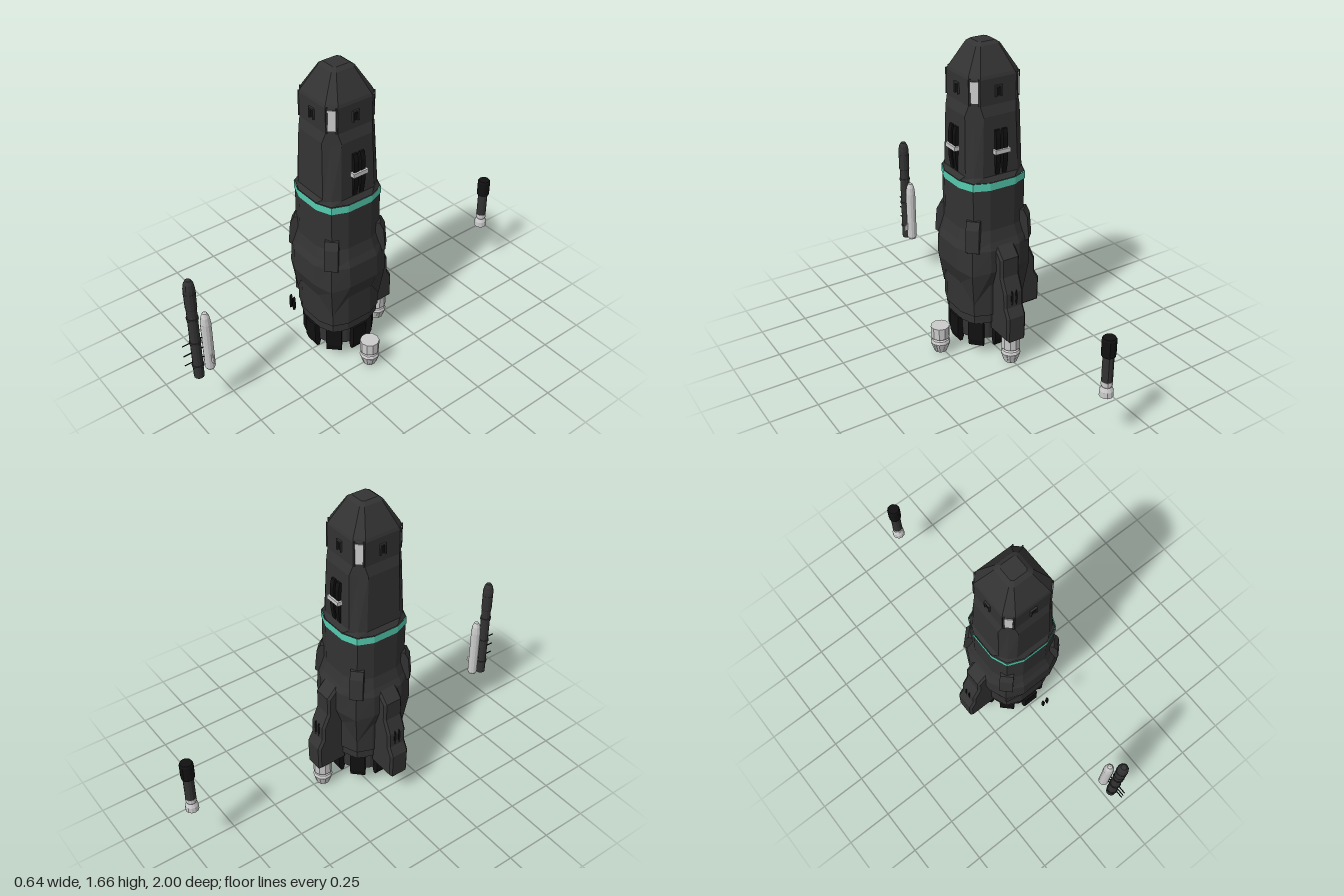
import * as THREE from 'three';

const mat = (color) => new THREE.MeshStandardMaterial({ color, flatShading: true, side: THREE.DoubleSide });
const DARK = mat(0x333333), BLACK = mat(0x111111), GREY = mat(0xcccccc), TEAL = mat(0x55ccb0);

function add(parent, name, geo, material, x = 0, y = 0, z = 0) {
  const m = new THREE.Mesh(geo, material);
  m.name = name;
  m.position.set(x, y, z);
  parent.add(m);
  return m;
}

// Square section with cut corners: h = face distance, f = half face width, c = corner point
function section(y, h, f, c = (h + f) / 2, cy = y) {
  const pts = [];
  for (let q = 0; q < 4; q++) {
    const s = Math.round(Math.sin(q * Math.PI / 2)), k = Math.round(Math.cos(q * Math.PI / 2));
    for (const [x, z, yy] of [[h, f, y], [c, c, cy], [f, h, y]]) pts.push([x * k - z * s, yy, x * s + z * k]);
  }
  return pts;
}

// Skin over sections listed from bottom to top
function loft(sections, capTop = false) {
  const n = 12, idx = [], pos = sections.flat(2);
  for (let r = 0; r < sections.length - 1; r++) {
    for (let k = 0; k < n; k++) {
      const a = r * n + k, b = r * n + (k + 1) % n;
      idx.push(a, a + n, b, a + n, b + n, b);
    }
  }
  if (capTop) {
    const o = (sections.length - 1) * n;
    for (let k = 1; k < n - 1; k++) idx.push(o, o + k + 1, o + k);
  }
  const g = new THREE.BufferGeometry();
  g.setAttribute('position', new THREE.Float32BufferAttribute(pos, 3));
  g.setIndex(idx);
  const flat = g.toNonIndexed();
  flat.computeVertexNormals();
  return flat;
}

const lathe = (pts, sides) => new THREE.LatheGeometry(pts.map(([r, y]) => new THREE.Vector2(r, y)), sides);

// Extruded outline in (distance, height), turned to face +z
function outline(pts, width, bevel) {
  const shape = new THREE.Shape(pts.map(([r, y]) => new THREE.Vector2(r, y)));
  const g = new THREE.ExtrudeGeometry(shape, {
    depth: width - 2 * bevel, bevelEnabled: bevel > 0, bevelSize: bevel, bevelOffset: -bevel,
    bevelThickness: bevel, bevelSegments: 1,
  });
  g.translate(0, 0, bevel - width / 2);
  return g.rotateY(-Math.PI / 2);
}

function facing(parent, name, angle) {
  const g = new THREE.Group();
  g.name = name;
  g.rotation.y = angle;
  parent.add(g);
  return g;
}

// Engine bell with a wide collar above a narrow neck
function engine(parent, x, y, z) {
  const g = new THREE.Group();
  g.name = 'engine';
  g.position.set(x, y, z);
  parent.add(g);
  add(g, 'engineCollar', lathe([[0, 0.15], [0.05, 0.15], [0.05, 0.085], [0.036, 0.08], [0.036, 0.07], [0, 0.07]], 10), GREY);
  add(g, 'engineNozzle', lathe([[0.036, 0.075], [0.046, 0.07], [0.052, 0.055], [0.034, 0], [0.029, 0], [0.03, 0.05], [0, 0.055]], 10), GREY);
  for (let i = 0; i < 6; i++) {
    const slot = add(facing(g, 'nozzleRib', i * Math.PI / 3), 'rib', new THREE.BoxGeometry(0.008, 0.04, 0.006), GREY, 0, 0.032, 0.042);
    slot.rotation.x = 0.32;
  }
}

// Pair of slim upright vents
function ventPair(parent) {
  for (const s of [-1, 1]) {
    const v = add(parent, 'vent', new THREE.CylinderGeometry(0.5, 0.5, 1, 8), BLACK, s * 0.013, 0.39, 0.29);
    v.rotation.x = Math.PI / 2;
    v.scale.set(0.014, 0.012, 0.085);
  }
}

export function createModel() {
  const model = new THREE.Group();
  model.name = 'rocket';
  const hull = new THREE.Group();
  hull.name = 'hull';
  hull.position.z = 0.075;
  model.add(hull);

  // Main body, teal band, upper hull and nose
  add(hull, 'lowerBody', loft([
    section(0.2, 0.172, 0.067, 0.142), section(0.25, 0.172, 0.067, 0.142),
    section(0.25, 0.18, 0.07, 0.148), section(0.96, 0.18, 0.07, 0.148)]), DARK);
  add(hull, 'band', loft([
    section(0.96, 0.183, 0.072, 0.151), section(1.0, 0.183, 0.072, 0.151)]), TEAL);
  add(hull, 'upperHull', loft([
    section(1.0, 0.18, 0.07, 0.148), section(1.025, 0.162, 0.1, 0.138),
    section(1.33, 0.155, 0.09), section(1.38, 0.14, 0.1),
    section(1.51, 0.14, 0.1), section(1.525, 0.135, 0.095),
    section(1.645, 0.066, 0.05), section(1.66, 0.045, 0.035)], true), DARK);

  // Swollen collar whose lower edge drops to points at the corners
  add(hull, 'collar', loft([
    section(0.43, 0.183, 0.075, 0.15, 0.32), section(0.52, 0.213, 0.085, 0.172, 0.5),
    section(0.64, 0.21, 0.085, 0.168), section(0.68, 0.194, 0.08, 0.16),
    section(0.74, 0.18, 0.07, 0.148)]), DARK);

  // Corner ribs above the collar, and corner windows in the nose
  for (let i = 0; i < 4; i++) {
    const corner = facing(hull, 'corner', Math.PI / 4 + i * Math.PI / 2);
    add(corner, 'rib', outline([[0.18, 0.6], [0.245, 0.64], [0.235, 0.76], [0.215, 0.8], [0.18, 0.8]], 0.068, 0), DARK);
    add(corner, 'window', new THREE.BoxGeometry(0.036, 0.105, 0.012), GREY, 0, 1.45, 0.168);
    for (const s of [-1, 1]) add(corner, 'windowFrame', new THREE.BoxGeometry(0.007, 0.13, 0.014), DARK, s * 0.022, 1.45, 0.169);

    // Small framed hatch on each nose face
    const face = facing(hull, 'noseFace', i * Math.PI / 2);
    add(face, 'hatch', new THREE.BoxGeometry(0.022, 0.04, 0.006), BLACK, 0, 1.44, 0.14);
    for (const s of [-1, 1]) add(face, 'hatchFrame', new THREE.BoxGeometry(0.007, 0.055, 0.014), DARK, s * 0.015, 1.445, 0.142);
    add(face, 'hatchTop', new THREE.BoxGeometry(0.037, 0.008, 0.014), DARK, 0, 1.47, 0.142);
  }

  // Open skirt with a ceiling, and clamp feet around it
  add(hull, 'skirt', lathe([[0, 0.2], [0.145, 0.2], [0.145, 0.09], [0.16, 0.09], [0.165, 0.21]], 16), DARK);
  for (let i = 0; i < 8; i++) {
    add(facing(hull, 'foot', i * Math.PI / 4), 'clampFoot',
      outline([[0.14, 0.2], [0.183, 0.2], [0.183, 0.09], [0.17, 0.05], [0.155, 0.05], [0.14, 0.1]], 0.08, 0), BLACK);
  }

  // Stepped engine pods on the right and the back
  const podLine = [[0.15, 0.15], [0.32, 0.15], [0.322, 0.29], [0.295, 0.34], [0.293, 0.42],
    [0.258, 0.5], [0.258, 0.6], [0.2, 0.66], [0.15, 0.66]];
  for (const [name, angle] of [['rightPod', -Math.PI / 2], ['backPod', Math.PI]]) {
    const pod = facing(hull, name, angle);
    add(pod, 'podShell', outline(podLine, 0.112, 0.012), DARK);
    ventPair(pod);
  }
  ventPair(facing(hull, 'frontVents', 0));
  engine(hull, 0, 0, -0.265);
  engine(hull, 0.267, 0.01, 0);

  // Twin rails with a cross bar on the left and the back
  for (const [name, angle] of [['leftRails', Math.PI / 2], ['backRails', Math.PI]]) {
    const rails = facing(hull, name, angle);
    for (const s of [-1, 1]) {
      add(rails, 'rail', outline([[0.15, 1.02], [0.165, 1.03], [0.176, 1.1], [0.176, 1.22], [0.168, 1.26], [0.15, 1.26]], 0.026, 0), BLACK, s * 0.02);
      add(rails, 'barMount', new THREE.BoxGeometry(0.018, 0.022, 0.03), GREY, s * 0.034, 1.152, 0.168);
    }
    add(rails, 'crossBar', new THREE.BoxGeometry(0.086, 0.022, 0.012), GREY, 0, 1.152, 0.18);
  }

  // Separate front tanks with pins
  add(model, 'darkTank', lathe([[0, 0.225], [0.026, 0.225], [0.026, 0.66], [0.029, 0.665], [0.029, 0.78],
    [0.024, 0.81], [0.014, 0.828], [0, 0.832]], 12), DARK, 0, 0, 0.93);
  for (const y of [0.3, 0.45, 0.6, 0.75]) {
    add(model, 'tankHoop', new THREE.CylinderGeometry(0.03, 0.03, 0.012, 12), DARK, 0, y, 0.93);
  }
  add(model, 'greyTank', lathe([[0, 0.24], [0.02, 0.24], [0.027, 0.255], [0.027, 0.53], [0.022, 0.57],
    [0.012, 0.594], [0, 0.6]], 12), GREY, 0, 0, 0.865);
  for (const y of [0.33, 0.39, 0.455]) {
    add(model, 'pin', new THREE.CylinderGeometry(0.003, 0.003, 0.12, 6), BLACK, 0, y, 0.94).rotation.x = Math.PI / 2;
  }
  const fin = new THREE.Shape([[0.02, 0.3], [0.05, 0.3], [0.045, 0.325], [0.02, 0.355]].map(([x, y]) => new THREE.Vector2(x, y)));
  add(model, 'tankFin', new THREE.ExtrudeGeometry(fin, { depth: 0.006, bevelEnabled: false }), GREY, 0, 0, 0.862);

  // Separate rear thruster
  add(model, 'thrusterCap', lathe([[0, 0.485], [0.033, 0.485], [0.035, 0.495], [0.035, 0.57], [0.03, 0.58], [0, 0.58]], 12), BLACK, 0, 0, -0.965);
  add(model, 'thrusterBody', new THREE.CylinderGeometry(0.027, 0.027, 0.15, 12), DARK, 0, 0.415, -0.965);
  add(model, 'thrusterNozzle', lathe([[0, 0.3], [0.028, 0.275], [0.034, 0.27], [0.033, 0.3], [0.024, 0.32], [0.028, 0.33], [0.028, 0.35], [0, 0.35]], 12), GREY, 0, 0, -0.965);

  return model;
}
